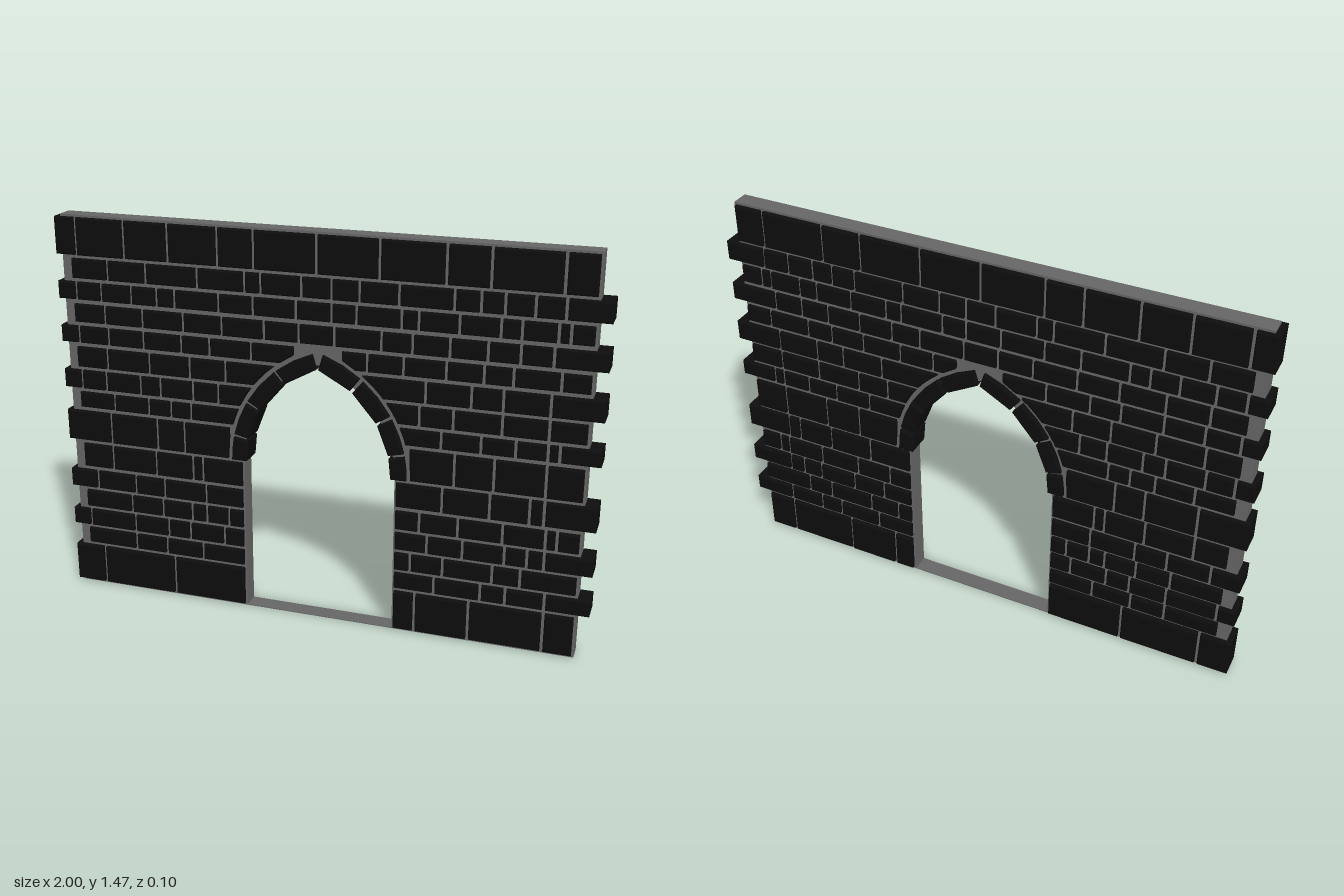
import * as THREE from 'three';
import { mergeGeometries } from 'three/addons/utils/BufferGeometryUtils.js';

const SPRING = 0.6;    // height where the arch starts
const CENTRE = 0.1275; // each arc is struck from beyond the centre line
const R_HOLE = 0.4125, R_IN = 0.4, R_OUT = 0.457, R_RING = 0.4725;
const GAP = 0.006;     // half a mortar joint
const BEVEL = 0.005;

const stoneMat = new THREE.MeshStandardMaterial({ color: 0x0d0d0d });
const mortarMat = new THREE.MeshStandardMaterial({ color: 0x666666 });

// Small repeatable variation of the stone faces
let seed = 7;
const vary = () => (seed = (seed * 16807) % 2147483647) / 2147483647;

// Half width of an arc of radius r at height y
function archX(r, y) {
  const d = r * r - (y - SPRING) ** 2;
  return y < SPRING || d <= 0 ? 0 : Math.max(0, Math.sqrt(d) - CENTRE);
}

// Chamfered block from an outline, running through the wall
function block(points, half) {
  const shape = new THREE.Shape(points.map(([x, y]) => new THREE.Vector2(x, y)));
  const geo = new THREE.ExtrudeGeometry(shape, {
    depth: 2 * (half - BEVEL), bevelThickness: BEVEL, bevelSize: BEVEL,
    bevelOffset: -BEVEL, bevelSegments: 1,
  });
  return geo.translate(0, 0, BEVEL - half);
}

// Stones between successive joints; an edge next to the arch follows its curve
function stones(joints, y0, y1) {
  const out = [];
  for (let i = 0; i < joints.length - 1; i++) {
    const a = joints[i] + (i > 0 ? GAP : 0);
    const b = joints[i + 1] - (i < joints.length - 2 ? GAP : 0);
    const curved = y1 > SPRING && y0 < 1.05;
    const left = [], right = [];
    const steps = curved ? 4 : 1;
    for (let k = 0; k <= steps; k++) {
      const y = y0 + ((y1 - y0) * k) / steps;
      const lim = curved ? archX(R_RING, y) : 0;
      left.push([a > 0 ? Math.max(a, lim) : a, y]);
      right.push([b < 0 ? Math.min(b, -lim) : b, y]);
    }
    const straight = (e) => (e.every((p) => p[0] === e[0][0]) ? [e[0], e[steps]] : e);
    out.push(block([...straight(right), ...straight(left).reverse()], 0.047 + 0.003 * vary()));
  }
  return out;
}

// Mortar core with the pointed doorway cut out
function mortarCore() {
  const s = new THREE.Shape();
  const jamb = R_HOLE - CENTRE;
  const apex = Math.acos(CENTRE / R_HOLE);
  s.moveTo(-0.98, 0);
  s.lineTo(-jamb, 0);
  s.lineTo(-jamb, SPRING);
  s.absarc(CENTRE, SPRING, R_HOLE, Math.PI, Math.PI - apex, true);
  s.absarc(-CENTRE, SPRING, R_HOLE, apex, 0, true);
  s.lineTo(jamb, 0);
  s.lineTo(0.955, 0);
  s.lineTo(0.955, 1.465);
  s.lineTo(-0.98, 1.465);
  const geo = new THREE.ExtrudeGeometry(s, { depth: 0.064, bevelEnabled: false, curveSegments: 16 });
  return geo.translate(0, 0, -0.032);
}

// Wedge stones of the arch, mirrored about the centre line
function voussoirs() {
  const out = [];
  const angles = [0, 12, 30, 51, 72];
  for (const side of [-1, 1]) {
    for (let i = 0; i < 4; i++) {
      const a = THREE.MathUtils.degToRad(angles[i] + (i ? 0.8 : 0));
      const b = THREE.MathUtils.degToRad(angles[i + 1] - 0.8);
      const at = (r, t) => [side * Math.max(0.004, r * Math.cos(t) - CENTRE), SPRING + r * Math.sin(t)];
      const m = (a + b) / 2;
      out.push(block([at(R_IN, a), at(R_OUT, a), at(R_OUT, m), at(R_OUT, b), at(R_IN, b)], 0.05));
    }
  }
  return out;
}

export function createModel() {
  const wall = new THREE.Group();
  wall.name = 'archedWall';
  const add = (geo, mat, name) => {
    const mesh = new THREE.Mesh(geo, mat);
    mesh.name = name;
    wall.add(mesh);
    return mesh;
  };

  add(mortarCore(), mortarMat, 'mortarCore');
  add(new THREE.BoxGeometry(0.58, 0.003, 0.064), mortarMat, 'threshold').position.y = 0.0015;
  add(mergeGeometries(voussoirs()), stoneMat, 'archStones');

  // Courses from the top down; the ends alternate like a toothed wall
  let n = 0;
  const course = (y0, y1, ...runs) =>
    add(mergeGeometries(runs.flatMap((r) => stones(r, y0, y1))), stoneMat, `stoneCourse${++n}`);

  // Full courses above the arch
  course(1.32, 1.457, [-1, -0.92, -0.73, -0.56, -0.37, -0.235, -0.005, 0.22, 0.45, 0.6, 0.84, 0.947]);
  course(1.235, 1.307, [-0.94, -0.8, -0.65, -0.45, -0.27, -0.21, -0.06, 0.05, 0.15, 0.29, 0.48, 0.57, 0.65, 0.75, 0.85, 1]);
  course(1.155, 1.22, [-1, -0.93, -0.83, -0.71, -0.61, -0.54, -0.37, -0.24, -0.08, 0.05, 0.14, 0.3, 0.36, 0.5, 0.64, 0.71, 0.83, 0.87, 0.947]);
  course(1.07, 1.137, [-0.94, -0.82, -0.67, -0.51, -0.36, -0.2, -0.07, 0.06, 0.23, 0.34, 0.47, 0.6, 0.71, 0.82, 1]);

  // Courses meeting the arch
  course(0.99, 1.053, [-1, -0.93, -0.81, -0.67, -0.52, -0.41, -0.25, -0.09], [0.09, 0.18, 0.31, 0.46, 0.59, 0.69, 0.85, 0.947]);
  course(0.897, 0.973, [-0.94, -0.82, -0.65, -0.49, -0.35, -0.16], [0.16, 0.39, 0.55, 0.66, 0.82, 1]);
  course(0.812, 0.882, [-1, -0.93, -0.83, -0.69, -0.61, -0.48, -0.38, -0.25], [0.25, 0.37, 0.49, 0.66, 0.82, 0.947]);
  course(0.737, 0.796, [-0.94, -0.8, -0.66, -0.57, -0.49, -0.3], [0.3, 0.45, 0.59, 0.71, 0.82, 0.86, 1]);
  course(0.603, 0.72, [-1, -0.82, -0.63, -0.52, -0.34], [0.34, 0.5, 0.64, 0.82, 0.947]);

  // Courses beside the doorway
  course(0.497, 0.588, [-0.94, -0.82, -0.64, -0.49, -0.45, -0.293], [0.293, 0.46, 0.63, 0.77, 0.82, 1]);
  course(0.41, 0.48, [-1, -0.89, -0.73, -0.61, -0.44, -0.293], [0.293, 0.38, 0.52, 0.68, 0.83, 0.87, 0.947]);
  course(0.33, 0.395, [-0.94, -0.75, -0.62, -0.5, -0.44, -0.35, -0.293], [0.293, 0.41, 0.54, 0.69, 0.77, 0.83, 1]);
  course(0.25, 0.315, [-1, -0.93, -0.74, -0.6, -0.51, -0.37, -0.293], [0.293, 0.35, 0.47, 0.65, 0.75, 0.947]);
  course(0.175, 0.235, [-0.94, -0.74, -0.61, -0.46, -0.293], [0.293, 0.44, 0.61, 0.7, 0.84, 1]);
  course(0.01, 0.16, [-1, -0.88, -0.58, -0.293], [0.293, 0.37, 0.57, 0.84, 0.947]);

  return wall;
}
